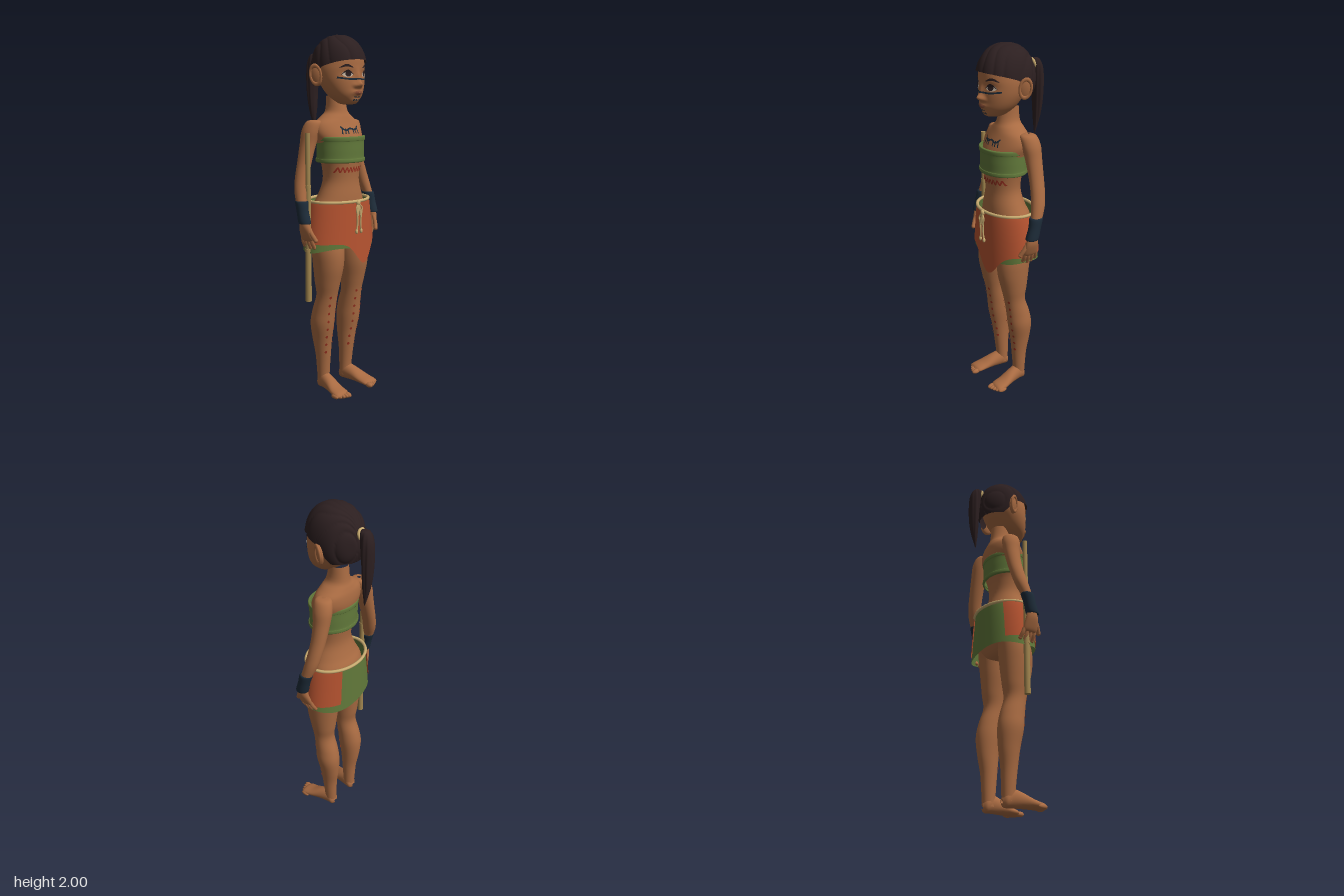
import * as THREE from 'three';
import { mergeGeometries } from 'three/addons/utils/BufferGeometryUtils.js';

const V = (x, y, z) => new THREE.Vector3(x, y, z);
const mat = (name, color, side = THREE.FrontSide) => {
  const m = new THREE.MeshStandardMaterial({ color, side });
  m.name = name;
  return m;
};

// Surface from a rule f(u, v): u runs down the rows, v around the columns
function grid(rows, cols, f, closed = false) {
  const pos = [], idx = [], n = closed ? cols : cols + 1;
  for (let i = 0; i <= rows; i++)
    for (let j = 0; j < n; j++) pos.push(...f(i / rows, j / cols).toArray());
  for (let i = 0; i < rows; i++)
    for (let j = 0; j < cols; j++) {
      const k = (j + 1) % n, a = i * n + j, b = a + n, c = (i + 1) * n + k, d = i * n + k;
      idx.push(a, b, c, a, c, d);
    }
  const g = new THREE.BufferGeometry();
  g.setAttribute('position', new THREE.Float32BufferAttribute(pos, 3));
  g.setIndex(idx);
  g.computeVertexNormals();
  return g;
}

// Smooth cross-section [y, x, z, rx, rz] at t = 0..1 along a list, top first
function section(S, t) {
  const n = S.length - 1, k = Math.min(Math.floor(t * n), n - 1), f = t * n - k;
  const at = i => S[Math.max(0, Math.min(n, i))];
  return S[0].map((_, c) => {
    const [a, b, d, e] = [at(k - 1)[c], at(k)[c], at(k + 1)[c], at(k + 2)[c]];
    const w = b + 0.5 * f * (d - a + f * (2 * a - 5 * b + 4 * d - e + f * (3 * (b - d) + e - a)));
    return c > 2 ? Math.max(w, 0.001) : w;
  });
}
const loft = (S, rows = 32, cols = 32, bump = p => p) => grid(rows, cols, (u, v) => {
  const [y, x, z, rx, rz] = section(S, u), a = v * Math.PI * 2;
  return bump(V(x + rx * Math.sin(a), y, z + rz * Math.cos(a)));
}, true);
// Front surface height of a loft at (x, y), for painted details
const frontOf = (S, bump = p => p) => (px, py) => {
  let lo = 0, hi = 1;
  for (let i = 0; i < 24; i++) {
    const m = (lo + hi) / 2;
    if (section(S, m)[0] > py) lo = m; else hi = m;
  }
  const [, x, z, rx, rz] = section(S, lo);
  return bump(V(px, py, z + rz * Math.sqrt(Math.max(0, 1 - ((px - x) / rx) ** 2)))).z;
};
// Rows of [y, half width, front z, back z]
const body = rows => rows.map(([y, rx, f, b]) => [y, 0, (f + b) / 2, rx, (f - b) / 2]);

// Painted stroke and painted oval that follow a surface
function stroke(points, width, surf, taper = false, off = 0.004) {
  const c = new THREE.CatmullRomCurve3(points.map(p => V(p[0], p[1], 0)));
  return grid(2, 24, (u, v) => {
    const p = c.getPoint(v), t = c.getTangent(v);
    const w = width * (0.5 - u) * (taper ? Math.sin(Math.PI * (0.06 + 0.88 * v)) : 1);
    const x = p.x - t.y * w, y = p.y + t.x * w;
    return V(x, y, surf(x, y) + off);
  });
}
const oval = (x0, y0, rx, ry, surf, off = 0.004) => grid(4, 20, (u, v) => {
  const a = v * Math.PI * 2, x = x0 + rx * u * Math.sin(a), y = y0 - ry * u * Math.cos(a);
  return V(x, y, surf(x, y) + off);
}, true);

export function createModel() {
  const root = new THREE.Group();
  const D = THREE.DoubleSide;
  const skin = mat('skin', 0xa96b42), hair = mat('dark hair', 0x2c1f20, D), green = mat('leaf green cloth', 0x61783a, D);
  const orange = mat('rust cloth', 0xb65330, D), cream = mat('cream cord', 0xc8ab70), navy = mat('navy', 0x1d2b38, D);
  const wood = mat('wood', 0xa2864f), red = mat('red paint', 0x96301f, D), white = mat('eye white', 0xc9b8a4, D);
  const lip = mat('lip', 0x8c4f37, D);
  const add = (name, g, m, parent = root) => {
    const parts = [g].flat();
    parts.forEach(p => p.deleteAttribute('uv'));
    const mesh = new THREE.Mesh(mergeGeometries(parts), m);
    mesh.name = name;
    parent.add(mesh);
  };
  const ball = (x, y, z, rx, ry, rz) => new THREE.SphereGeometry(1, 20, 14).scale(rx, ry, rz).translate(x, y, z);
  const tube = (pts, r, closed = false) =>
    new THREE.TubeGeometry(new THREE.CatmullRomCurve3(pts, closed), closed ? 96 : 20, r, 8, closed);

  // Torso and neck
  const torso = body([[1.68, .052, .05, -.05], [1.6, .06, .068, -.058], [1.565, .1, .082, -.07], [1.53, .148, .096, -.08],
    [1.48, .16, .118, -.083], [1.42, .14, .14, -.075], [1.36, .132, .145, -.068], [1.3, .116, .138, -.055], [1.22, .11, .132, -.05],
    [1.14, .138, .138, -.07], [1.08, .165, .14, -.095], [1, .175, .14, -.105], [.92, .17, .13, -.1], [.84, .1, .09, -.06], [.82, .01, .03, 0]]);
  add('torso', loft(torso, 60, 48), skin);
  const chest = frontOf(torso);

  // Head with nose, mouth and eye sockets shaped in
  const bell = (p, x, y, sx, sy) => Math.exp(-(((p.x - x) / sx) ** 2) - ((p.y - y) / sy) ** 2);
  const features = p => {
    if (p.z < .07) return p;
    p.z += .03 * bell(p, 0, 1.736, .018, .018) + .012 * bell(p, 0, 1.772, .014, .03) + .011 * bell(p, 0, 1.694, .032, .014)
      + .007 * bell(p, 0, 1.65, .03, .014);
    for (const s of [-1, 1])
      p.z += .01 * bell(p, s * .021, 1.73, .011, .011) - .007 * bell(p, s * .06, 1.795, .035, .022);
    return p;
  };
  const head = body([[1.955, .01, .03, .01], [1.945, .07, .1, -.06], [1.89, .118, .158, -.105], [1.83, .134, .168, -.108], [1.77, .131, .168, -.085],
    [1.72, .116, .167, -.052], [1.68, .093, .163, -.02], [1.65, .062, .15, .02], [1.635, .035, .135, .045], [1.631, .005, .1, .09]]);
  add('head', loft(head, 84, 96, features), skin);
  const face = frontOf(head, features);

  // Eyes, brows, ears
  for (const s of [-1, 1]) {
    const side = s > 0 ? 'left' : 'right', e = s * .062;
    add(side + 'EyeWhite', oval(e, 1.79, .027, .015, face), white);
    add(side + 'Iris', oval(e - s * .002, 1.791, .015, .015, face, .006), hair);
    add(side + 'Eyelid', stroke([[e - .031, 1.788], [e, 1.808], [e + .031, 1.788]], .008, face, true, .006), hair);
    add(side + 'Brow', stroke([[s * .034, 1.823], [s * .068, 1.835], [s * .1, 1.822]], .012, face, true), hair);
    const ear = new THREE.Group();
    ear.name = side + 'Ear';
    add('earLobe', ball(0, 0, 0, .014, .056, .034), skin, ear);
    add('earRim', new THREE.TorusGeometry(.03, .007, 8, 28).rotateY(Math.PI / 2).scale(1, 1.6, 1).translate(s * .009, .005, 0), skin, ear);
    ear.position.set(s * .145, 1.783, 0);
    ear.rotation.set(-.12, s * -.45, s * -.18);
    root.add(ear);
  }
  add('lips', [stroke([[-.033, 1.696], [0, 1.7], [.033, 1.696]], .011, face, true), stroke([[-.028, 1.692], [0, 1.687], [.028, 1.692]], .013, face, true)], lip);
  add('facePaint', stroke([[-.108, 1.772], [-.05, 1.764], [0, 1.766], [.05, 1.764], [.108, 1.772]], .009, face), navy);
  add('chinPaint', [stroke([[-.022, 1.673], [0, 1.67], [.022, 1.673]], .005, face), ...[-.02, -.007, .007, .02].map(x => oval(x, 1.656, .004, .006, face))], navy);

  // Hair cap: strands gather towards the ponytail
  add('hairCap', grid(48, 160, (u, v) => {
    const a = v * Math.PI * 2, c = Math.cos(a);
    const rim = c > 0 ? 1.58 - .27 * Math.pow(c, .7) : 1.58 + .5 * Math.min(1, -c * 2.2);
    const phi = Math.max(.001, u * rim), r = Math.pow(Math.sin(phi), .87);
    const x = r * Math.sin(a), z = r * c;
    const lock = Math.abs(Math.sin(13 * Math.atan2(x, z + 1.12) + .8 * Math.sin(5 * z)));
    const k = .965 + .045 * Math.pow(lock, .5);
    return V(.143 * x * k, 1.82 + .18 * Math.cos(phi) * (.985 + .015 * lock), .022 + .163 * z * k);
  }, true), hair);
  add('ponytail', loft([[1.91, 0, -.16, .005, .005], [1.9, 0, -.165, .027, .026], [1.84, 0, -.179, .038, .033], [1.72, 0, -.185, .037, .028],
    [1.61, 0, -.181, .025, .021], [1.5, 0, -.17, .003, .003]], 32, 48, p => {
    p.x *= 1 + .07 * Math.sin(Math.atan2(p.x, p.z + .18) * 9);
    return p;
  }), hair);
  add('hairKnot', ball(0, 1.883, -.145, .027, .026, .03), hair);
  add('hairTie', new THREE.TorusGeometry(.025, .008, 8, 24).rotateX(.3).translate(0, 1.883, -.145), cream);

  // Chest and belly paint
  add('chestPaint', [stroke([[-.065, 1.515], [-.035, 1.495], [0, 1.504], [.035, 1.495], [.065, 1.515]], .009, chest),
    ...[-.055, -.035, -.018, .018, .035, .055].map(x => stroke([[x, 1.505], [x * 1.12, 1.475]], .007, chest))], navy);
  const zig = [];
  for (let i = 0; i < 18; i++) {
    const x = -.1 + i * .2 / 18, up = i % 2;
    zig.push(stroke([[x, up ? 1.297 : 1.268], [x + .2 / 18, up ? 1.268 : 1.297]], .007, chest));
  }
  add('bellyPaint', zig, red);

  // Bandeau top with thicker hems
  add('bandeau', loft(body([[1.462, .136, .15, -.076], [1.46, .147, .162, -.086], [1.44, .147, .162, -.086], [1.436, .143, .157, -.082],
    [1.39, .143, .157, -.082], [1.345, .143, .157, -.082], [1.341, .147, .162, -.086], [1.324, .147, .162, -.086], [1.32, .137, .15, -.076]]), 48, 64), green);

  // Skirt: full underskirt, and a pointed wrap open at the back
  const onSkirt = (a, y, off) => {
    const t = (1.11 - y) / .265;
    return V((.188 + .045 * Math.pow(Math.max(t, 0), .8) + off) * Math.sin(a), y, .022 + (.142 + .006 * t + off) * Math.cos(a));
  };
  add('underskirt', grid(14, 80, (u, v) => {
    const a = v * Math.PI * 2;
    return onSkirt(a, 1.108 - u * (.262 + .012 * Math.sin(3 * a)), 0);
  }, true), green);
  add('wrapSkirt', grid(24, 120, (u, v) => {
    const a = -2.3 + v * 4.93, front = Math.cos(a) > 0 ? 1 : 0;
    const hem = .885 - front * .128 * Math.exp(-(((.225 * Math.sin(a) - .045) / .08) ** 2));
    return onSkirt(a, 1.108 + u * (hem - 1.108), .007);
  }), orange);
  const belt = [];
  for (let i = 0; i < 32; i++) belt.push(onSkirt(i * Math.PI / 16, 1.11, .003));
  add('waistCord', tube(belt, .009, true), cream);
  add('cordKnot', ball(0, 1.103, .176, .014, .016, .011), cream);
  add('cordEnds', [-1, 1].flatMap(s => [
    tube([V(0, 1.1, .178), V(s * .014, 1.05, .182), V(s * .012, .99, .182), V(s * .018, .945, .181)], .005),
    tube([V(0, 1.1, .178), V(s * .022, 1.075, .183), V(s * .01, 1.03, .183), V(0, 1.095, .18)], .004),
    ball(s * .018, .945, .181, .008, .014, .008)]), cream);

  for (const s of [-1, 1]) {
    const side = s > 0 ? 'left' : 'right';
    const mirror = S => S.map(([y, x, ...r]) => [y, s * x, ...r]);

    // Arm and wristband
    add(side + 'Arm', loft(mirror([[1.55, .14, -.02, .01, .01], [1.54, .145, -.02, .04, .045], [1.49, .162, -.028, .047, .054], [1.42, .178, -.034, .043, .047],
      [1.33, .203, -.034, .038, .042], [1.25, .228, -.028, .036, .04], [1.18, .248, -.016, .034, .038], [1.1, .266, .008, .026, .03], [1.02, .268, .03, .023, .03]]), 40, 28), skin);
    add(side + 'Wristband', loft(mirror([[1.122, .262, .004, .022, .025], [1.12, .263, .006, .034, .037], [1.07, .268, .018, .031, .035],
      [1.01, .268, .034, .032, .037], [1.007, .268, .035, .022, .025]]), 24, 28), navy);

    // Hand
    const hand = [loft(mirror([[1.02, .267, .03, .022, .028], [.98, .266, .033, .022, .038], [.935, .253, .032, .02, .044], [.91, .245, .03, .015, .04], [.902, .242, .03, .003, .02]]), 16, 24)];
    const finger = (a, b, r) => {
      hand.push(tube([a, a.clone().lerp(b, .5).add(V(s * .004, 0, 0)), b], r), ball(b.x, b.y, b.z, r, r, r));
    };
    for (let i = 0; i < 4; i++)
      finger(V(s * .247, .925, -.004 + i * .022), V(s * .222, [.872, .86, .858, .868][i], -.016 + i * .025), .011);
    finger(V(s * .26, .985, .055), V(s * .242, .915, .091), .012);
    add(side + 'Hand', hand, skin);

    // Leg with painted dots
    const leg = mirror([[.97, .09, .01, .08, .09], [.85, .097, .035, .087, .097], [.75, .098, .041, .082, .092], [.65, .1, .036, .069, .076], [.57, .1, .031, .059, .062],
      [.48, .103, .01, .062, .069], [.4, .105, -.002, .064, .072], [.3, .1, -.008, .052, .06], [.2, .095, -.006, .042, .046], [.1, .092, -.008, .036, .038], [.03, .09, -.008, .033, .035]]);
    add(side + 'Leg', loft(leg, 48, 32), skin);
    const shin = frontOf(leg), dots = [];
    for (let i = 0; i < 8; i++)
      for (const x of [.078, .128]) dots.push(oval(s * (x - .003 * Math.max(0, i - 4)), .57 - i * .048, .006, .008, shin));
    add(side + 'LegPaint', dots, red);

    // Foot, built along its length, with toes
    const foot = loft(mirror([[.185, .122, -.016, .025, .006], [.17, .118, -.019, .046, .018], [.12, .113, -.027, .046, .026], [.06, .102, -.042, .039, .041],
      [0, .092, -.05, .035, .05], [-.032, .09, -.036, .03, .036], [-.046, .09, -.03, .008, .012]]), 28, 28).rotateX(Math.PI / 2);
    const toes = [0, 1, 2, 3, 4].map(i => ball(s * (.09 + i * .0175), .014, .186 - [0, .004, .01, .02, .032][i], i ? .0105 : .0155, i ? .012 : .0145, .027));
    add(side + 'Foot', [foot, ...toes], skin);
  }

  // Staff in three lengths with joints
  for (const [name, y0, y1, r] of [['staffLower', .56, .85, .017], ['staffMiddle', .85, 1.2, .0155], ['staffUpper', 1.2, 1.485, .0135],
    ['staffLowerJoint', .842, .858, .019], ['staffUpperJoint', 1.19, 1.206, .0175]])
    add(name, new THREE.CylinderGeometry(r * .97, r, y1 - y0, 16).translate(-.23, (y0 + y1) / 2, .02), wood);

  return root;
}
